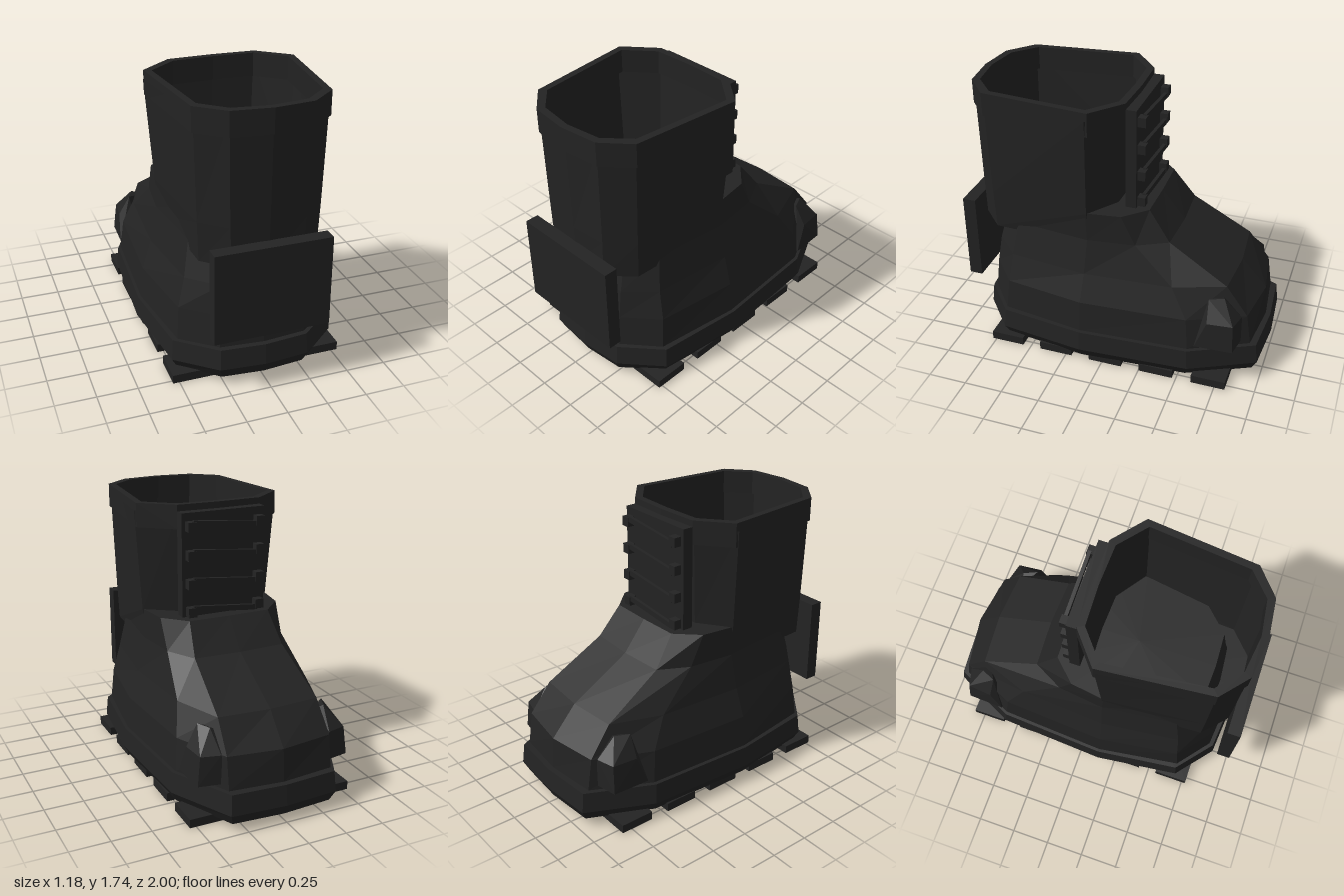
import * as THREE from 'three';
import { ConvexGeometry } from 'three/addons/geometries/ConvexGeometry.js';

const leather = new THREE.MeshStandardMaterial({ color: 0x232323, flatShading: true, side: THREE.DoubleSide });
leather.name = 'blackLeather';

// Mirrors a half outline of [x, z] points (toe centre to heel centre) into a full ring
const mirrorRing = (half) => [...half, ...half.slice(1, -1).reverse().map(([x, z]) => [-x, z])];

// Faceted loft through horizontal sections { y, half }, with optional end caps
function loft(sections, { top = true, bottom = true } = {}) {
  const rings = sections.map(({ y, half }) => mirrorRing(half).map(([x, z]) => new THREE.Vector3(x, y, z)));
  const n = rings[0].length, pts = [];
  for (let i = 0; i < rings.length - 1; i++) {
    for (let j = 0; j < n; j++) {
      const k = (j + 1) % n;
      const a = rings[i][j], b = rings[i][k], c = rings[i + 1][j], d = rings[i + 1][k];
      pts.push(b, a, c, b, c, d);
    }
  }
  const cap = (ring, up) => {
    const mid = ring.reduce((s, p) => s.add(p), new THREE.Vector3()).divideScalar(n);
    ring.forEach((p, j) => {
      const q = ring[(j + 1) % n];
      pts.push(mid, up ? q : p, up ? p : q);
    });
  };
  if (bottom) cap(rings[0], false);
  if (top) cap(rings[rings.length - 1], true);
  const g = new THREE.BufferGeometry().setFromPoints(pts);
  g.computeVertexNormals();
  return g;
}

export function createModel() {
  const boot = new THREE.Group();
  boot.name = 'boot';
  const add = (name, geometry, x = 0, y = 0, z = 0) => {
    const m = new THREE.Mesh(geometry, leather);
    m.name = name;
    m.position.set(x, y, z);
    boot.add(m);
    return m;
  };
  const box = (name, w, h, d, x, y, z) => add(name, new THREE.BoxGeometry(w, h, d), x, y, z);

  // Sole with a bevelled lower edge
  const soleHalf = [[0, -1], [0.35, -0.975], [0.55, -0.57], [0.59, 0.14], [0.52, 0.69], [0.28, 0.89], [0, 0.915]];
  const soleAt = (y, sx, sz) => ({ y, half: soleHalf.map(([x, z]) => [x * sx, z * sz]) });
  add('sole', loft([soleAt(0.04, 0.93, 0.965), soleAt(0.11, 1, 1), soleAt(0.24, 0.98, 0.985)]));

  // Tread lugs under both edges
  for (const side of [-1, 1]) {
    for (let i = 0; i < 5; i++) {
      box('treadLug', 0.3, 0.055, 0.22, side * 0.39, 0.0275, 0.665 - i * 0.343);
    }
  }

  // Foot: toe, instep and heel
  add('foot', loft([
    { y: 0.246, half: [[0, -0.955], [0.34, -0.92], [0.52, -0.56], [0.56, 0.14], [0.48, 0.68], [0.27, 0.85], [0, 0.875]] },
    { y: 0.45, half: [[0, -0.94], [0.34, -0.89], [0.5, -0.54], [0.54, 0.14], [0.465, 0.66], [0.26, 0.83], [0, 0.855]] },
    { y: 0.635, half: [[0, -0.775], [0.33, -0.75], [0.445, -0.43], [0.48, 0.13], [0.42, 0.64], [0.25, 0.8], [0, 0.825]] },
    { y: 0.86, half: [[0, -0.385], [0.3, -0.37], [0.4, -0.18], [0.435, 0.12], [0.38, 0.6], [0.23, 0.74], [0, 0.76]] },
    { y: 1.05, half: [[0, -0.235], [0.27, -0.23], [0.405, -0.09], [0.435, 0.13], [0.37, 0.56], [0.22, 0.71], [0, 0.72]] },
  ]));

  // Raised guards on the corners of the toe
  const guard = [
    [0.34, 0.27, -0.87], [0.5, 0.27, -0.84], [0.51, 0.27, -0.6], [0.38, 0.27, -0.58],
    [0.36, 0.45, -0.86], [0.48, 0.45, -0.83], [0.495, 0.45, -0.67],
    [0.3, 0.55, -0.73], [0.38, 0.58, -0.75], [0.42, 0.58, -0.66],
  ];
  for (const side of [-1, 1]) {
    add('toeGuard', new ConvexGeometry(guard.map(([x, y, z]) => new THREE.Vector3(side * x, y, z))));
  }

  // Hollow ankle shaft
  add('shaft', loft([
    { y: 0.8, half: [[0, 0], [0.22, 0.01], [0.405, 0.13], [0.37, 0.76], [0.22, 0.9], [0, 0.915]] },
    { y: 1.05, half: [[0, -0.03], [0.24, -0.02], [0.44, 0.12], [0.38, 0.765], [0.23, 0.9], [0, 0.92]] },
    { y: 1.69, half: [[0, -0.075], [0.27, -0.06], [0.487, 0.1], [0.4, 0.77], [0.24, 0.905], [0, 0.93]] },
  ], { top: false }));

  // Collar band around the opening
  const rimOuter = [[0, -0.09], [0.28, -0.08], [0.48, 0.085], [0.41, 0.775], [0.245, 0.915], [0, 0.943]];
  const rimInner = [[0, -0.045], [0.26, -0.035], [0.435, 0.11], [0.37, 0.74], [0.225, 0.87], [0, 0.9]];
  const toVec = (half) => mirrorRing(half).map(([x, z]) => new THREE.Vector2(x, -z));
  const rim = new THREE.Shape(toVec(rimOuter));
  rim.holes.push(new THREE.Path(toVec(rimInner)));
  const rimGeo = new THREE.ExtrudeGeometry(rim, { depth: 0.15, bevelEnabled: false });
  rimGeo.rotateX(-Math.PI / 2);
  add('collar', rimGeo, 0, 1.59, 0);

  // Lacing flap with eyelets and laces
  box('lacingFlap', 0.56, 0.72, 0.068, 0, 1.34, -0.112);
  for (let i = 0; i < 4; i++) {
    const y = 1.62 - i * 0.178;
    for (const side of [-1, 1]) box('eyelet', 0.055, 0.06, 0.055, side * 0.23, y, -0.168);
    const lace = box('lace', 0.44, 0.035, 0.022, 0, y, -0.178);
    lace.rotation.z = 0.1;
  }

  // Square heel plate
  box('heelPlate', 0.715, 0.57, 0.085, 0, 0.66, 0.957);

  return boot;
}
